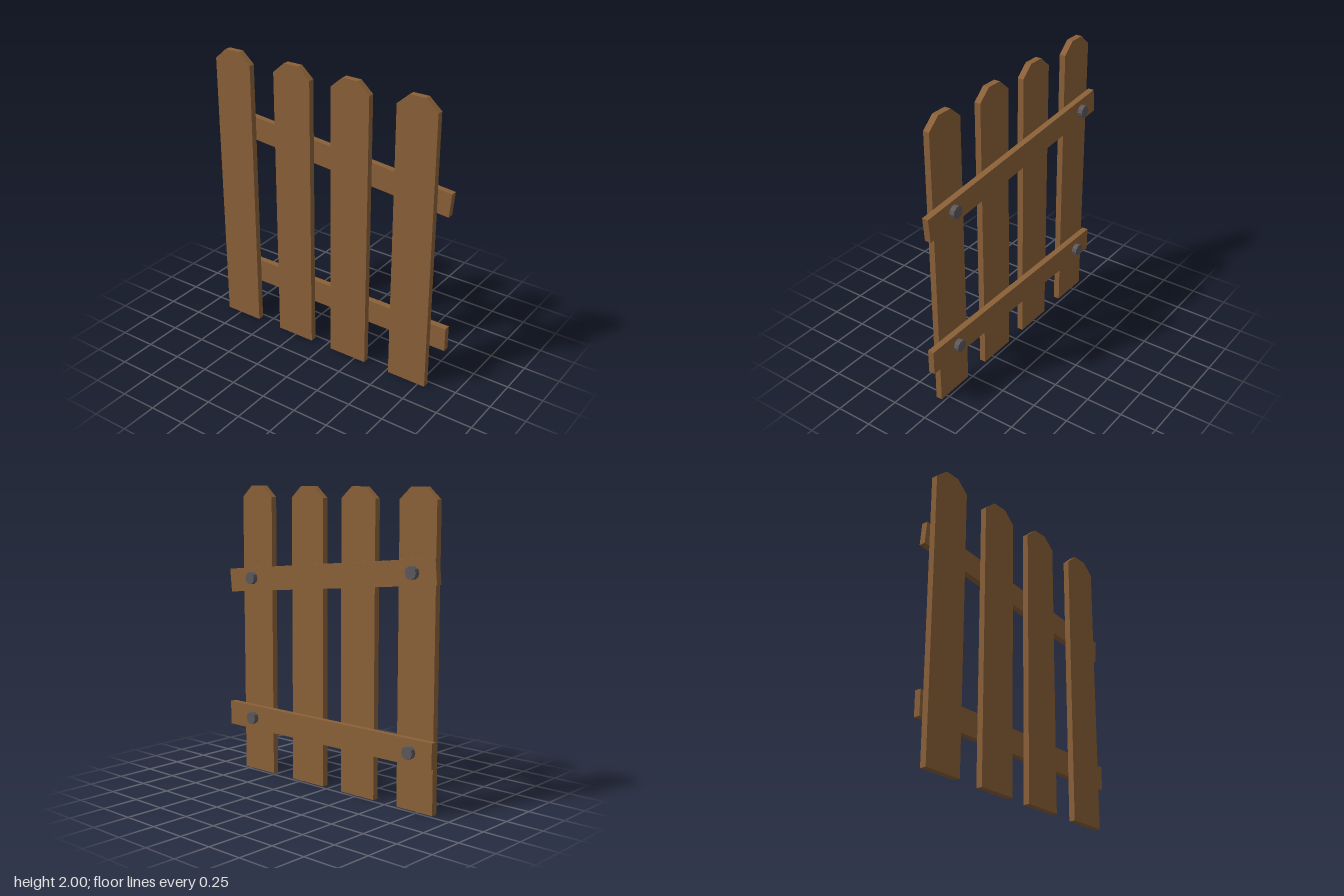
import * as THREE from 'three';

const BOARD = 0.043; // thickness of planks and rails

export function createModel() {
  const fence = new THREE.Group();
  fence.name = 'picketFence';
  const wood = new THREE.MeshStandardMaterial({ color: 0x8a6038, flatShading: true });
  const iron = new THREE.MeshStandardMaterial({ color: 0x5c585b, flatShading: true });

  const add = (name, geometry, material, x, y, z) => {
    const mesh = new THREE.Mesh(geometry, material);
    mesh.name = name;
    mesh.position.set(x, y, z);
    fence.add(mesh);
    return mesh;
  };

  // Upright planks with clipped top corners
  const outline = new THREE.Shape([
    [-0.14, 0], [0.14, 0], [0.14, 1.925], [0.055, 2], [-0.055, 2], [-0.14, 1.925],
  ].map(([x, y]) => new THREE.Vector2(x, y)));
  const plank = new THREE.ExtrudeGeometry(outline, { depth: BOARD, bevelEnabled: false });
  plank.rotateY(Math.PI / 2);
  [0.66, 0.19, -0.25, -0.72].forEach((z, i) => add(`plank${i + 1}`, plank, wood, -0.065, 0, z));

  // Cross rails, the upper one nailed on crooked
  add('lowerRail', new THREE.BoxGeometry(BOARD, 0.166, 1.79), wood, 0, 0.388, 0.013);
  const upper = add('upperRail', new THREE.BoxGeometry(BOARD, 0.16, 1.79), wood, 0, 1.425, -0.002);
  upper.rotation.x = 0.093;

  // Bolt heads on the outer planks
  const bolt = new THREE.CylinderGeometry(0.042, 0.042, 0.045, 10);
  bolt.rotateZ(-Math.PI / 2);
  [[1.372, 0.663], [1.493, -0.727], [0.387, 0.668], [0.387, -0.716]].forEach(([y, z], i) =>
    add(`bolt${i + 1}`, bolt, iron, 0.033, y, z));

  return fence;
}
